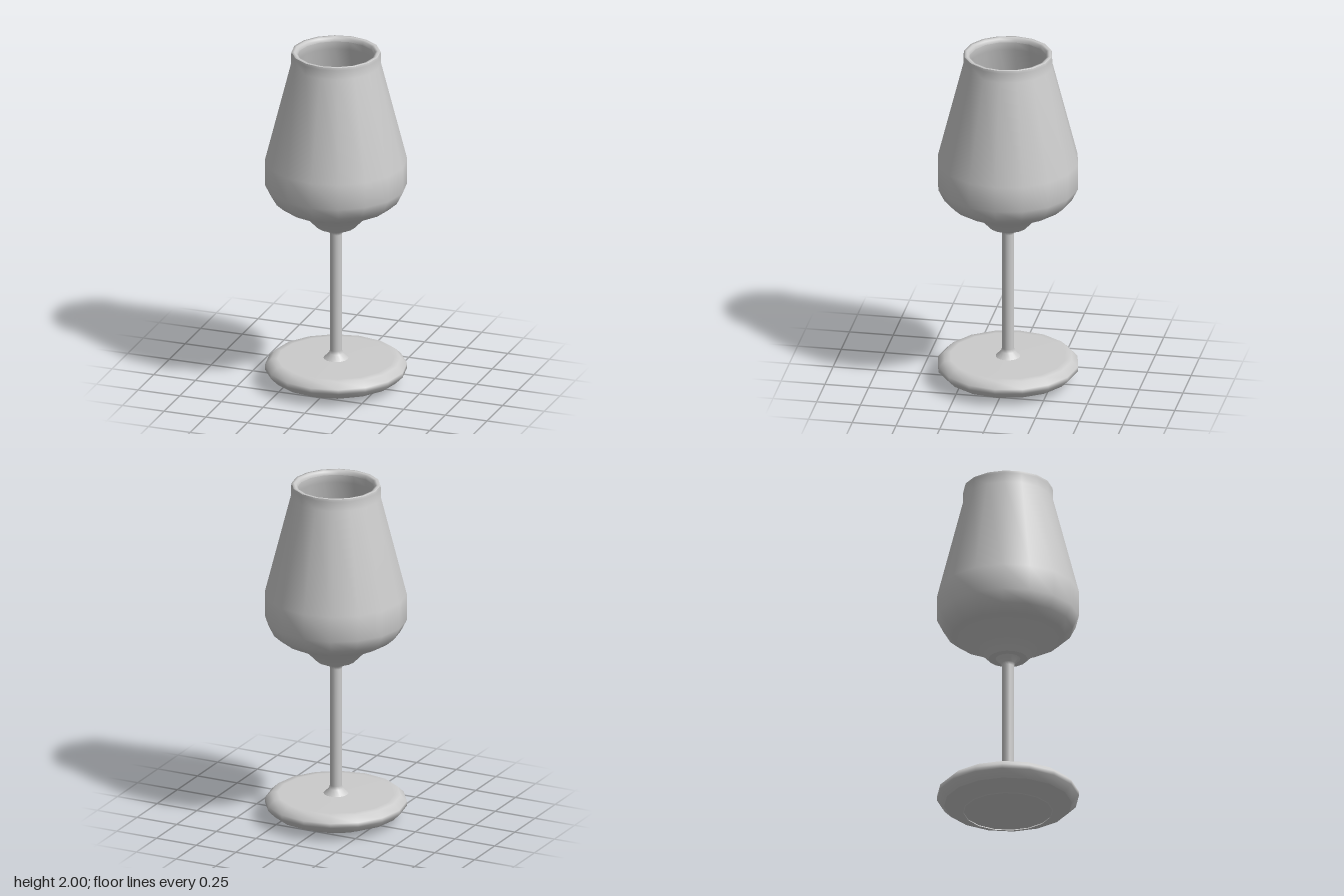
import * as THREE from 'three';

const SIDES = 16;
const material = new THREE.MeshStandardMaterial({ color: 0xcccccc, side: THREE.DoubleSide });

// Revolves smooth profile sections; each section boundary stays a hard edge.
function turned(name, sections) {
  const group = new THREE.Group();
  group.name = name;
  for (const [part, points] of Object.entries(sections)) {
    const profile = points.map(([r, y]) => new THREE.Vector2(r, y));
    const mesh = new THREE.Mesh(new THREE.LatheGeometry(profile, SIDES), material);
    mesh.name = part;
    group.add(mesh);
  }
  return group;
}

export function createModel() {
  const glass = new THREE.Group();
  glass.name = 'wineGlass';

  // Foot: shallow base, rounded disc edge, flat top
  glass.add(turned('foot', {
    footBottom: [[0, 0.005], [0.25, 0.005]],
    footBase: [[0.25, 0], [0.255, 0.005], [0.33, 0.035], [0.36, 0.045]],
    footEdge: [[0.36, 0.045], [0.4, 0.085], [0.4, 0.112], [0.365, 0.146], [0.33, 0.148]],
    footTop: [[0.33, 0.148], [0.07, 0.15]],
  }));

  // Stem: thin rod flared at both ends
  glass.add(turned('stem', {
    stemRod: [[0.07, 0.15], [0.04, 0.18], [0.034, 0.2], [0.034, 0.9], [0.04, 0.918], [0.07, 0.948]],
  }));

  // Bowl: outer wall, rolled rim, inner wall and floor
  glass.add(turned('bowl', {
    bowlUnderside: [[0.05, 0.948], [0.11, 0.948]],
    bowlOutside: [[0.11, 0.948], [0.18, 1.02], [0.32, 1.09], [0.365, 1.13], [0.4, 1.2],
      [0.4, 1.35], [0.253, 1.93], [0.253, 1.985], [0.25, 2]],
    bowlRim: [[0.253, 1.985], [0.25, 2], [0.235, 2], [0.222, 1.995], [0.219, 1.975]],
    bowlInside: [[0.219, 1.975], [0.22, 1.93], [0.368, 1.35], [0.368, 1.21], [0.34, 1.15],
      [0.3, 1.115], [0.15, 1.04], [0.09, 0.98], [0.037, 0.96]],
    bowlFloor: [[0.037, 0.96], [0, 0.96]],
  }));

  return glass;
}
